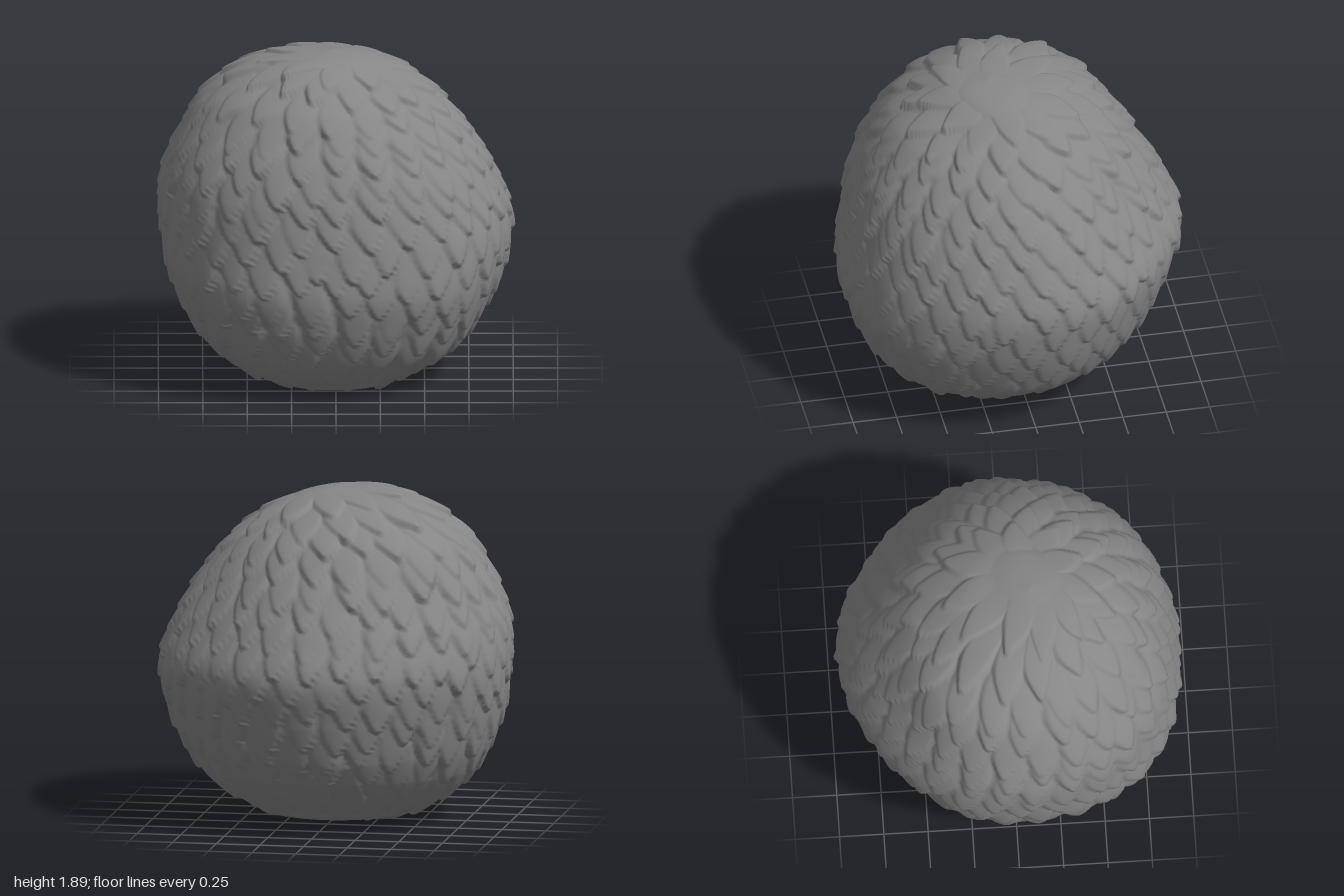
import * as THREE from 'three';

// Body cross-sections from crown to base: [y, xMin, xMax, zMin, zMax]
const RINGS = [
  [1.9, -0.02, -0.02, 0.12, 0.12],
  [1.88, -0.25, 0.17, -0.07, 0.30],
  [1.825, -0.47, 0.31, -0.28, 0.41],
  [1.64, -0.74, 0.57, -0.55, 0.66],
  [1.4, -0.89, 0.77, -0.73, 0.81],
  [1.15, -0.985, 0.91, -0.88, 0.9],
  [0.9, -0.995, 0.995, -0.97, 0.945],
  [0.65, -0.96, 0.96, -0.91, 0.97],
  [0.43, -0.88, 0.87, -0.82, 0.915],
  [0.22, -0.74, 0.73, -0.66, 0.8],
  [0.06, -0.54, 0.5, -0.48, 0.61],
  [0, -0.4, 0.38, -0.37, 0.48],
  [0, 0, 0, 0.06, 0.06],
];
const ROWS = 235, COLS = 300, TAU = Math.PI * 2;
const curveX = new THREE.CatmullRomCurve3(RINGS.map(r => new THREE.Vector3(r[0], r[1], r[2])));
const curveZ = new THREE.CatmullRomCurve3(RINGS.map(r => new THREE.Vector3(0, r[3], r[4])));
const { smoothstep, clamp } = THREE.MathUtils;

function seeded(seed) {
  return () => (seed = (seed * 16807) % 2147483647) / 2147483647;
}

// Smooth rings with their mean radius r and distance s from the crown
function bodyRings() {
  const rings = [];
  for (let j = 0; j <= ROWS; j++) {
    const a = curveX.getPoint(j / ROWS), b = curveZ.getPoint(j / ROWS);
    const ring = {
      y: Math.max(0, a.x),
      cx: (a.y + a.z) / 2, rx: (a.z - a.y) / 2,
      cz: (b.y + b.z) / 2, rz: (b.z - b.y) / 2,
      s: 0,
    };
    ring.r = (ring.rx + ring.rz) / 2;
    const p = rings[j - 1];
    if (p) ring.s = p.s + Math.hypot(ring.r - p.r, ring.y - p.y);
    rings.push(ring);
  }
  return rings;
}

// Staggered rows of downward-pointing scales; each one knows its tip position
function layScales(rings, rimS) {
  const rand = seeded(71), scales = [];
  for (let row = 0, s = 0.5; s < rimS + 0.06; row++) {
    const r = rings.find(q => q.s >= s - 0.1).r;
    const count = Math.min(30, Math.round(TAU * r / 0.2), 11 + row * 5);
    for (let k = 0; k < count; k++) {
      scales.push({
        tip: s + (rand() - 0.5) * 0.08,
        phi: ((k + (row % 2) * 0.5 + (rand() - 0.5) * 0.26) / count) * TAU,
        len: (row < 2 ? 0.38 : 0.32) + rand() * 0.04,
        half: Math.max(0.1, (Math.PI * r / count) * 1.15),
        lift: 0.042 + rand() * 0.014,
      });
    }
    s += 0.138 + 0.03 * Math.max(0, 1 - row / 3);
  }
  return scales;
}

// Height of the overlapping, softly domed scales at one point of the body
function scaleHeight(scales, s, phi, r) {
  let h = 0.022 * (1 - smoothstep(s, 0.1, 0.4));
  for (const c of scales) {
    const u = 1 - (c.tip - s) / c.len;
    if (u <= 0 || u >= 1) continue;
    let d = Math.abs(phi - c.phi) % TAU;
    d = Math.min(d, TAU - d) * r;
    if (d >= c.half) continue;
    const width = c.half * (u < 0.45 ? 0.6 + 0.4 * Math.sin(u / 0.45 * Math.PI / 2)
      : Math.cos((u - 0.45) / 0.55 * Math.PI / 2));
    const q = d / width;
    if (q >= 1) continue;
    const edge = smoothstep(1 - q, -0.05, 0.45) * smoothstep(1 - u, -0.02, 0.1);
    h = Math.max(h, c.lift * (0.15 + 0.85 * u) * (1 - 0.25 * q * q) * edge);
  }
  return h;
}

function scalyBodyGeometry() {
  const rings = bodyRings();
  const rimS = rings[Math.round(ROWS * 10.6 / 12)].s;
  const scales = layScales(rings, rimS);
  const positions = [], index = [];
  const p = new THREE.Vector3(), out = new THREE.Vector3();
  for (let j = 0; j <= ROWS; j++) {
    const g = rings[j];
    const fade = 1 - smoothstep(g.s, rimS - 0.03, rimS + 0.06);
    const low = smoothstep(g.s, 0.7, 1.2);
    const shoulder = smoothstep(g.s, 0.3, 0.6) * (1 - low);
    // The rosette of scales is centred a little to the side of the apex
    const shift = 0.12 * (1 - smoothstep(g.s, 0.3, 1.2));
    for (let i = 0; i < COLS; i++) {
      const phi = (i / COLS) * TAU, cos = Math.cos(phi), sin = Math.sin(phi);
      // Uneven corners: fuller low at the front, fuller high at the back
      const full = 1 + (2 * sin * cos) ** 2 * (low * (0.043 * sin - 0.01 * cos + 0.004)
        + shoulder * 0.035 * Math.max(0, -sin - cos));
      p.set(g.cx + g.rx * cos * full, g.y, g.cz + g.rz * sin * full);
      // Shallow slope on one side of the crown
      if (g.s < 1) p.y -= 0.03 * Math.exp(-((p.x - 0.25) ** 2 + (p.z - 0.3) ** 2) / 0.06);
      out.set(p.x, p.y - 0.85, p.z - 0.05).normalize();
      const u = g.s * cos - shift, v = g.s * sin, s = Math.hypot(u, v);
      const h = scaleHeight(scales, s, Math.atan2(v, u), g.r * s / Math.max(g.s, 0.001));
      p.addScaledVector(out, (h - 0.03) * fade * smoothstep(g.s, -0.1, 0.3));
      // The base tilts up slightly toward the back
      p.y += 0.05 * (0.5 - p.z) * clamp(1 - p.y / 0.3, 0, 1);
      positions.push(p.x, Math.max(0, p.y), p.z);
      if (j === ROWS) continue;
      const a = j * COLS + i, b = j * COLS + (i + 1) % COLS;
      const c = a + COLS, d = b + COLS;
      if (j > 0) index.push(a, b, c);
      else index.push(a, d, c);
      if (j > 0 && j < ROWS - 1) index.push(b, d, c);
    }
  }
  const geometry = new THREE.BufferGeometry();
  geometry.setAttribute('position', new THREE.Float32BufferAttribute(positions, 3));
  geometry.setIndex(index);
  geometry.computeVertexNormals();
  return geometry;
}

export function createModel() {
  const group = new THREE.Group();
  group.name = 'scalyBall';
  const body = new THREE.Mesh(
    scalyBodyGeometry(),
    new THREE.MeshStandardMaterial({ color: 0x868686 }),
  );
  body.name = 'scalyBody';
  group.add(body);
  return group;
}
